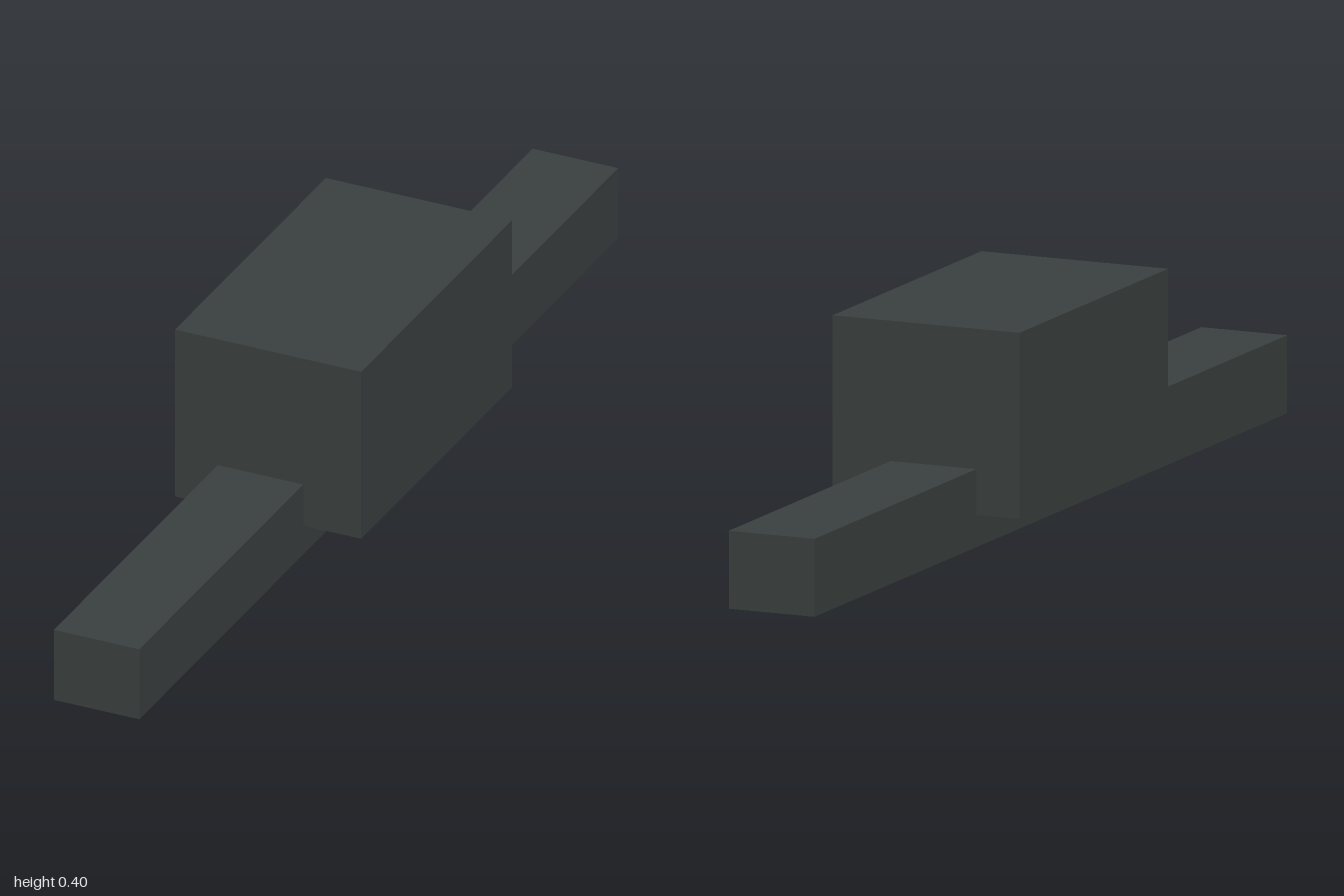
import * as THREE from 'three';

export function createModel() {
  const group = new THREE.Group();
  const darkGrey = new THREE.MeshStandardMaterial({ color: 0x3b4140 });
  darkGrey.name = 'darkGrey';

  // Box given by its lower and upper corners
  const addBox = (name, [x0, y0, z0], [x1, y1, z1]) => {
    const mesh = new THREE.Mesh(new THREE.BoxGeometry(x1 - x0, y1 - y0, z1 - z0), darkGrey);
    mesh.position.set((x0 + x1) / 2, (y0 + y1) / 2, (z0 + z1) / 2);
    mesh.name = name;
    group.add(mesh);
  };

  // Long bar, set slightly off centre
  addBox('bar', [-0.1, 0, -1], [0.07, 0.143, 1]);
  // Block straddling the middle of the bar
  addBox('block', [-0.185, 0.059, -0.315], [0.185, 0.4, 0.315]);

  return group;
}
